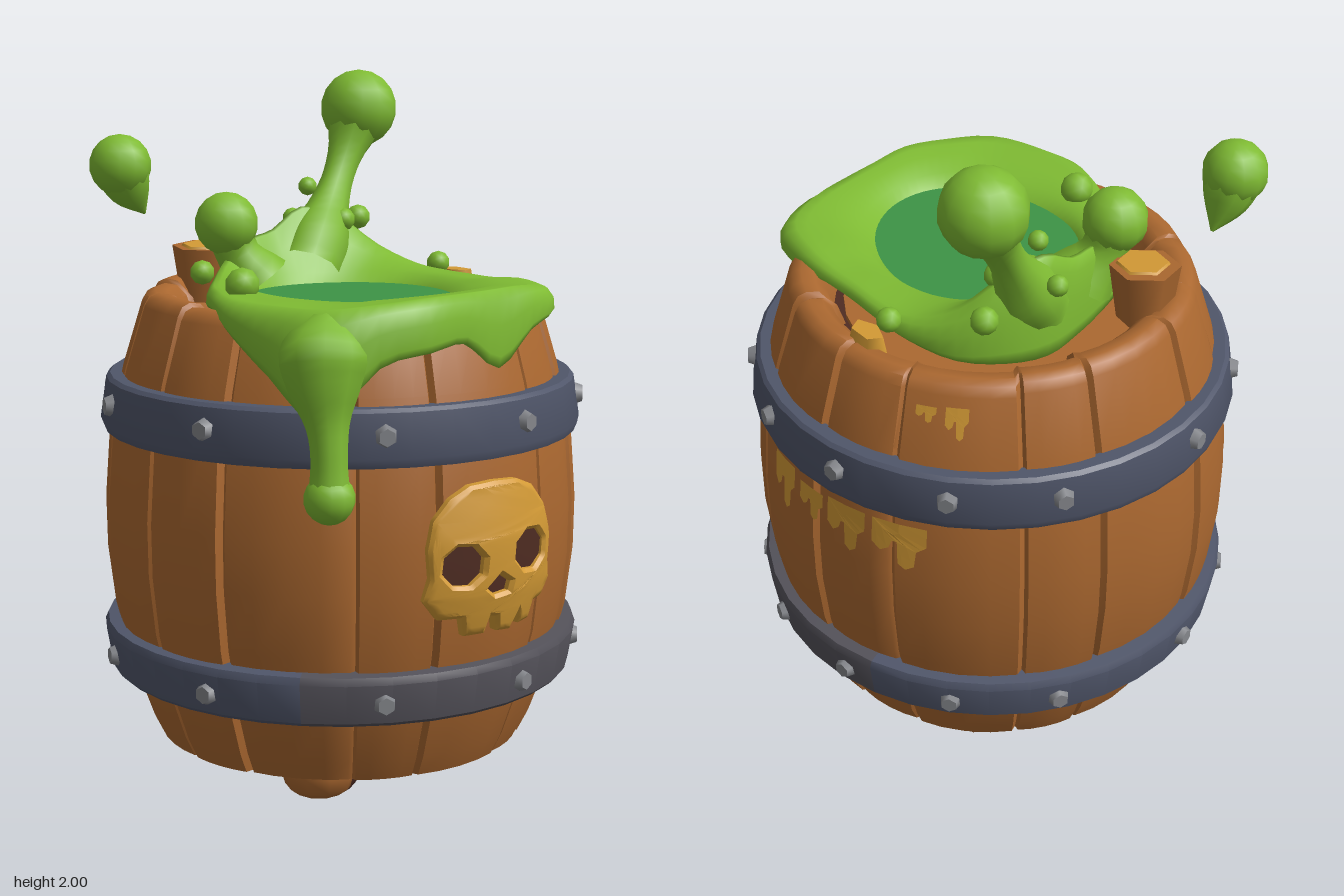
import * as THREE from 'three';
import { mergeVertices, toCreasedNormals } from 'three/addons/utils/BufferGeometryUtils.js';

const mat = (name, color, side = THREE.FrontSide) => {
  const m = new THREE.MeshStandardMaterial({ color, side });
  m.name = name;
  return m;
};
const wood = mat('wood', 0xab6830);
const darkWood = mat('dark wood', 0x4f2c22);
const iron = mat('iron', 0x50566a);
const wornIron = mat('worn iron', 0x54525a);
const rivetGrey = mat('rivet grey', 0x85878c);
const gold = mat('gold', 0xd39a35, THREE.DoubleSide);
const slimeGreen = mat('slime green', 0x7fbb33);
const poolGreen = mat('pool green', 0x3d9446);

const V = (x, y, z) => new THREE.Vector3(x, y, z);
const rad = THREE.MathUtils.degToRad;
const lerp = THREE.MathUtils.lerp;
const vec2 = pts => pts.map(p => new THREE.Vector2(...p));

function add(parent, name, geometry, material, x = 0, y = 0, z = 0) {
  const mesh = new THREE.Mesh(geometry, material);
  mesh.name = name;
  mesh.position.set(x, y, z);
  parent.add(mesh);
  return mesh;
}

// Surface through closed rings of points
function loft(rows) {
  const n = rows[0].length, pos = [], index = [];
  rows.forEach(row => row.forEach(p => pos.push(p.x, p.y, p.z)));
  for (let i = 0; i < rows.length - 1; i++) for (let j = 0; j < n; j++) {
    const k = (j + 1) % n, a = i * n + j, b = i * n + k, c = b + n, d = a + n;
    index.push(a, b, c, a, c, d);
  }
  const g = new THREE.BufferGeometry();
  g.setAttribute('position', new THREE.Float32BufferAttribute(pos, 3));
  g.setIndex(index);
  return g;
}

// Tube along points whose radius follows a list of values
function blobTube(points, radii, n = 14) {
  const curve = new THREE.CatmullRomCurve3(points);
  const profile = new THREE.CatmullRomCurve3(radii.map((r, i) => V(i, r, 0)));
  let g = new THREE.TubeGeometry(curve, n, 1, 10);
  const p = g.attributes.position, v = V(0, 0, 0);
  for (let k = 0; k < p.count; k++) {
    const t = Math.floor(k / 11) / n, c = curve.getPointAt(t);
    v.fromBufferAttribute(p, k).sub(c).multiplyScalar(Math.max(profile.getPoint(t).y, 0.001)).add(c);
    p.setXYZ(k, v.x, v.y, v.z);
  }
  g.deleteAttribute('uv');
  g.deleteAttribute('normal');
  g = mergeVertices(g, 1e-5);
  g.computeVertexNormals();
  return g;
}

// Splits every triangle into four so that flat plates bend smoothly
function subdivide(g) {
  const p = (g.index ? g.toNonIndexed() : g).attributes.position, out = [];
  for (let i = 0; i < p.count; i += 3) {
    const [a, b, c] = [0, 1, 2].map(k => V(0, 0, 0).fromBufferAttribute(p, i + k));
    const [ab, bc, ca] = [[a, b], [b, c], [c, a]].map(([s, e]) => s.clone().lerp(e, 0.5));
    out.push(a, ab, ca, ab, b, bc, ca, bc, c, ab, bc, ca);
  }
  return new THREE.BufferGeometry().setFromPoints(out);
}

// Barrel outline [radius, height]
const outline = [[0.54, 0.1], [0.57, 0.16], [0.62, 0.3], [0.665, 0.48], [0.685, 0.65], [0.687, 0.8],
  [0.672, 1.0], [0.63, 1.18], [0.575, 1.36]];
function barrelRadius(y) {
  for (let i = 1; i < outline.length; i++) {
    const [r0, y0] = outline[i - 1], [r1, y1] = outline[i];
    if (y <= y1) return lerp(r0, r1, Math.max(0, (y - y0) / (y1 - y0)));
  }
  return 0.56;
}

// Bends a flat geometry onto the barrel side
function wrap(g, angle, y0, offset) {
  const p = g.attributes.position;
  for (let i = 0; i < p.count; i++) {
    const a = angle + p.getX(i) / 0.69, y = y0 + p.getY(i), r = barrelRadius(y) + offset + p.getZ(i);
    p.setXYZ(i, Math.sin(a) * r, y, Math.cos(a) * r);
  }
  g.computeVertexNormals();
  return g;
}

function buildStaves(barrel) {
  const count = 14, samples = [];
  const edge = k => k * 360 / count + 3.5 * Math.sin((k % count) * 2.7);
  for (let s = 0; s < count; s++) for (const [f, dip] of [[0, 0.02], [0.04, 0.004], [0.25, 0.001], [0.5, 0], [0.75, 0.001], [0.96, 0.004]])
    samples.push({
      a: rad(lerp(edge(s), edge(s + 1), f) - 23),
      d: -dip - 0.004 * (1 + Math.sin(s * 4.1)),
      h: 0.012 * Math.sin(s * 5.3) - dip * 0.4,
    });
  const profile = [[0.001, 0.1], ...outline, [0.56, 1.385], [0.535, 1.395], [0.5, 1.39], [0.47, 1.36], [0.445, 1.27]];
  const rows = profile.map(([r, y]) => samples.map(({ a, d, h }) => {
    const q = r > 0.1 ? r + d : r;
    return V(Math.sin(a) * q, y + (y > 1.3 ? h : 0), Math.cos(a) * q);
  }));
  add(barrel, 'staves', toCreasedNormals(loft(rows), 0.75), wood);
  add(barrel, 'innerGap', new THREE.CylinderGeometry(0.46, 0.46, 0.02, 28), darkWood, 0, 1.27, 0);
  add(barrel, 'innerLid', new THREE.CylinderGeometry(0.42, 0.42, 0.02, 28), wood, 0, 1.285, 0);
  // Broken stave with pale split wood on top
  const stub = add(barrel, 'brokenStave', new THREE.CylinderGeometry(0.098, 0.075, 0.16, 6), wood, -0.39, 1.415, 0.21);
  stub.rotation.set(0.06, 0.3, -0.06);
  add(stub, 'splitWood', new THREE.CylinderGeometry(0.07, 0.075, 0.008, 6), gold, 0.01, 0.083, 0.005);
  const chip = add(barrel, 'splitWood', new THREE.CylinderGeometry(0.045, 0.055, 0.05, 5), gold, -0.05, 1.385, -0.475);
  chip.scale.set(1.3, 1, 0.75);
}

function buildHoops(barrel) {
  const upper = vec2([[0.63, 1.0], [0.682, 1.005], [0.692, 1.03], [0.674, 1.15], [0.663, 1.16], [0.62, 1.16]]);
  const lower = vec2([[0.6, 0.3], [0.664, 0.3], [0.674, 0.31], [0.692, 0.42], [0.683, 0.44], [0.63, 0.445]]);
  const band = (name, pts, steps, from, to, material) =>
    add(barrel, name, toCreasedNormals(new THREE.LatheGeometry(pts, steps, rad(from), rad(to - from)), 0.6), material);
  band('upperHoop', upper, 36, 0, 360, iron);
  band('lowerHoop', lower, 21, 200, 405, iron);
  band('lowerHoopWornSide', lower, 15, 45, 200, wornIron);
  for (const y of [0.365, 1.09]) for (const deg of [-76, -46, -16, 22, 64, 101, 141, 166, 192, 220, 246]) {
    const a = rad(deg), r = 0.684;
    const rivet = add(barrel, 'rivet', new THREE.CylinderGeometry(0.024, 0.036, 0.034, 6), rivetGrey, Math.sin(a) * r, y, Math.cos(a) * r);
    rivet.rotation.set(Math.PI / 2, a, 0, 'YXZ');
  }
}

function buildFeet(barrel) {
  const round = vec2([[0.001, 0], [0.07, 0.003], [0.1, 0.025], [0.115, 0.07], [0.112, 0.12]]);
  // [x, z, shift of the outer wood facing]
  for (const [x, z, sx, sz] of [[1, 1, 0.025, 0.025], [-1, -1, -0.025, -0.025], [-1, 1, -0.03, 0.005], [1, -1, 0, 0]]) {
    add(barrel, 'foot', new THREE.LatheGeometry(round, 10), darkWood, x * 0.245, 0, z * 0.245);
    if (sx) add(barrel, 'footFacing', new THREE.LatheGeometry(round, 10).scale(0.96, 1, 0.96), wood, x * 0.245 + sx, 0.008, z * 0.245 + sz);
  }
  add(barrel, 'footNail', new THREE.IcosahedronGeometry(0.03, 0), rivetGrey, 0.315, 0.065, -0.325);
}

function buildSkull(barrel) {
  const shape = new THREE.Shape(vec2([[0, 0.215], [0.08, 0.21], [0.14, 0.185], [0.19, 0.125], [0.208, 0.04], [0.2, -0.03],
    [0.215, -0.085], [0.185, -0.135], [0.145, -0.14], [0.14, -0.19], [0.095, -0.195], [0.082, -0.15], [0.064, -0.205],
    [0.012, -0.2], [0, -0.155], [-0.018, -0.15], [-0.03, -0.2], [-0.095, -0.2], [-0.108, -0.145], [-0.175, -0.145],
    [-0.218, -0.09], [-0.2, -0.03], [-0.207, 0.05], [-0.19, 0.125], [-0.14, 0.18], [-0.08, 0.21]]).reverse());
  for (const [x, y] of [[-0.11, 0], [0.11, 0.015]])
    shape.holes.push(new THREE.Path(vec2(Array.from({ length: 8 }, (_, i) => [
      x + 0.062 * Math.cos(i * Math.PI / 4 + 0.3), y + 0.058 * Math.sin(i * Math.PI / 4 + 0.3)]))));
  shape.holes.push(new THREE.Path(vec2([[0, -0.035], [-0.038, -0.07], [-0.015, -0.09], [0.03, -0.085], [0.036, -0.06]])));
  const g = subdivide(subdivide(new THREE.ExtrudeGeometry(shape,
    { depth: 0.038, bevelThickness: 0.012, bevelSize: 0.01, bevelOffset: -0.01, bevelSegments: 1 })));
  // Domed face, thinner toward the edge
  const p = g.attributes.position;
  for (let i = 0; i < p.count; i++)
    p.setZ(i, p.getZ(i) * (1 - 9 * (p.getX(i) ** 2 + p.getY(i) ** 2)));
  add(barrel, 'skull', toCreasedNormals(wrap(g, Math.PI / 2, 0.735, 0), 0.6), gold);
  // Dark sockets behind the openings
  add(barrel, 'sockets', wrap(new THREE.PlaneGeometry(0.34, 0.18, 10, 3), Math.PI / 2, 0.72, 0.022), darkWood);
}

function buildPaint(barrel) {
  const stain = new THREE.Shape(vec2([[-0.06, 0], [-0.062, -0.08], [-0.04, -0.1], [-0.02, -0.085], [-0.012, -0.06], [0, -0.06],
    [0.002, -0.13], [0.02, -0.145], [0.04, -0.13], [0.045, -0.08], [0.068, -0.06], [0.07, 0]]));
  for (const [deg, y, sx, sy] of [[172, 0.99, 0.85, 1.1], [183, 0.97, 0.75, 0.7], [194, 0.98, 1, 1], [208, 0.98, 1.25, 1],
    [213, 1.325, 0.5, 0.3], [221, 1.33, 0.55, 0.6]])
    add(barrel, 'paintDrip', wrap(subdivide(new THREE.ShapeGeometry(stain).scale(sx, sy, 1)), rad(deg), y, 0.005), gold);
}

function buildSlime(slime) {
  // Every 15 degrees around the pool: outer radius, crest height, lower edge height
  const rim = [[0.5, 1.44, 1.31], [0.54, 1.44, 1.3], [0.57, 1.43, 1.27], [0.61, 1.42, 1.13], [0.57, 1.42, 1.24], [0.53, 1.42, 1.33],
    [0.47, 1.42, 1.37], [0.43, 1.42, 1.37], [0.42, 1.42, 1.36], [0.42, 1.43, 1.34], [0.43, 1.47, 1.32], [0.42, 1.52, 1.3],
    [0.44, 1.54, 1.3], [0.48, 1.6, 1.3], [0.51, 1.57, 1.32], [0.52, 1.48, 1.34], [0.5, 1.43, 1.37], [0.46, 1.42, 1.38],
    [0.44, 1.42, 1.38], [0.46, 1.42, 1.38], [0.51, 1.43, 1.36], [0.56, 1.43, 1.35], [0.53, 1.44, 1.32], [0.5, 1.44, 1.23]];
  const curve = new THREE.CatmullRomCurve3(rim.map(p => V(...p)), true, 'catmullrom');
  const cx = 0.1, cz = 0.04, base = 1.38, n = 72;
  // Cross-section: share of the way outward, and height rule
  const section = [[-0.05, () => 1.36], [0, () => base], [0.2, c => Math.min(c, 1.415)], [0.5, c => lerp(Math.min(c, 1.43), c, 0.5)],
    [0.72, c => c - 0.003], [0.83, c => c], [0.93, (c, b) => lerp(c, b, 0.15)], [0.99, (c, b) => lerp(c, b, 0.45)],
    [1, (c, b) => lerp(c, b, 0.85)], [0.97, (c, b) => b], [0.85, (c, b) => b + 0.005], [0.4, () => 1.31], [-0.05, () => 1.36]];
  const rows = section.map(([f, height]) => Array.from({ length: n }, (_, j) => {
    const a = j / n * Math.PI * 2, p = curve.getPoint(j / n);
    const inner = 1 / Math.hypot(Math.cos(a) / 0.3, Math.sin(a) / 0.27) + 0.01 * Math.sin(a * 3 + 1);
    const r = lerp(inner, p.x, f);
    return V(cx + Math.cos(a) * r, height(p.y, p.z), cz + Math.sin(a) * r);
  }));
  const g = loft(rows);
  g.computeVertexNormals();
  add(slime, 'slimeRing', g, slimeGreen);
  const pool = add(slime, 'pool', new THREE.CircleGeometry(1, 40), poolGreen, cx, 1.387, cz);
  pool.rotation.x = -Math.PI / 2;
  pool.scale.set(0.325, 0.295, 1);

  const ball = (name, r, x, y, z) => add(slime, name, new THREE.SphereGeometry(r, 12, 9), slimeGreen, x, y, z);
  // Long drip down the side
  add(slime, 'drip', blobTube([V(0.46, 1.4, 0.4), V(0.49, 1.27, 0.43), V(0.54, 1.08, 0.45), V(0.55, 0.94, 0.455)],
    [0.05, 0.12, 0.1, 0.06, 0.05, 0.058], 18), slimeGreen);
  ball('dripEnd', 0.068, 0.55, 0.94, 0.455);
  // Tall splash spout
  add(slime, 'spout', blobTube([V(-0.27, 1.42, -0.06), V(-0.325, 1.56, -0.16), V(-0.37, 1.7, -0.25), V(-0.405, 1.86, -0.34)],
    [0.1, 0.095, 0.065, 0.05, 0.06, 0.1], 16), slimeGreen);
  ball('spoutBall', 0.117, -0.41, 1.883, -0.35);
  // Small splash
  add(slime, 'splashNeck', blobTube([V(-0.24, 1.4, 0.14), V(-0.27, 1.48, 0.19), V(-0.28, 1.57, 0.22)], [0.1, 0.065, 0.075], 6), slimeGreen);
  ball('splashBall', 0.092, -0.277, 1.57, 0.225);
  // Flying drop with its tail
  add(slime, 'dropTail', blobTube([V(-0.51, 1.59, 0.36), V(-0.503, 1.66, 0.41), V(-0.497, 1.73, 0.445)], [0.004, 0.06, 0.085], 8), slimeGreen);
  ball('flyingDrop', 0.09, -0.497, 1.735, 0.447);
  for (const [x, y, z, r] of [[0.07, 1.44, 0.4, 0.048], [-0.165, 1.45, 0.38, 0.035], [-0.4, 1.55, -0.34, 0.038], [-0.41, 1.56, -0.1, 0.03],
    [-0.27, 1.56, -0.19, 0.035], [-0.33, 1.66, -0.1, 0.028], [-0.1, 1.43, -0.42, 0.035]])
    add(slime, 'droplet', new THREE.IcosahedronGeometry(r, 1), slimeGreen, x, y, z);
}

export function createModel() {
  const model = new THREE.Group();
  model.name = 'slimeBarrel';
  const barrel = new THREE.Group();
  barrel.name = 'barrel';
  barrel.position.x = -0.028;
  const slime = new THREE.Group();
  slime.name = 'slime';
  model.add(barrel, slime);
  buildStaves(barrel);
  buildHoops(barrel);
  buildFeet(barrel);
  buildSkull(barrel);
  buildPaint(barrel);
  buildSlime(slime);
  return model;
}
